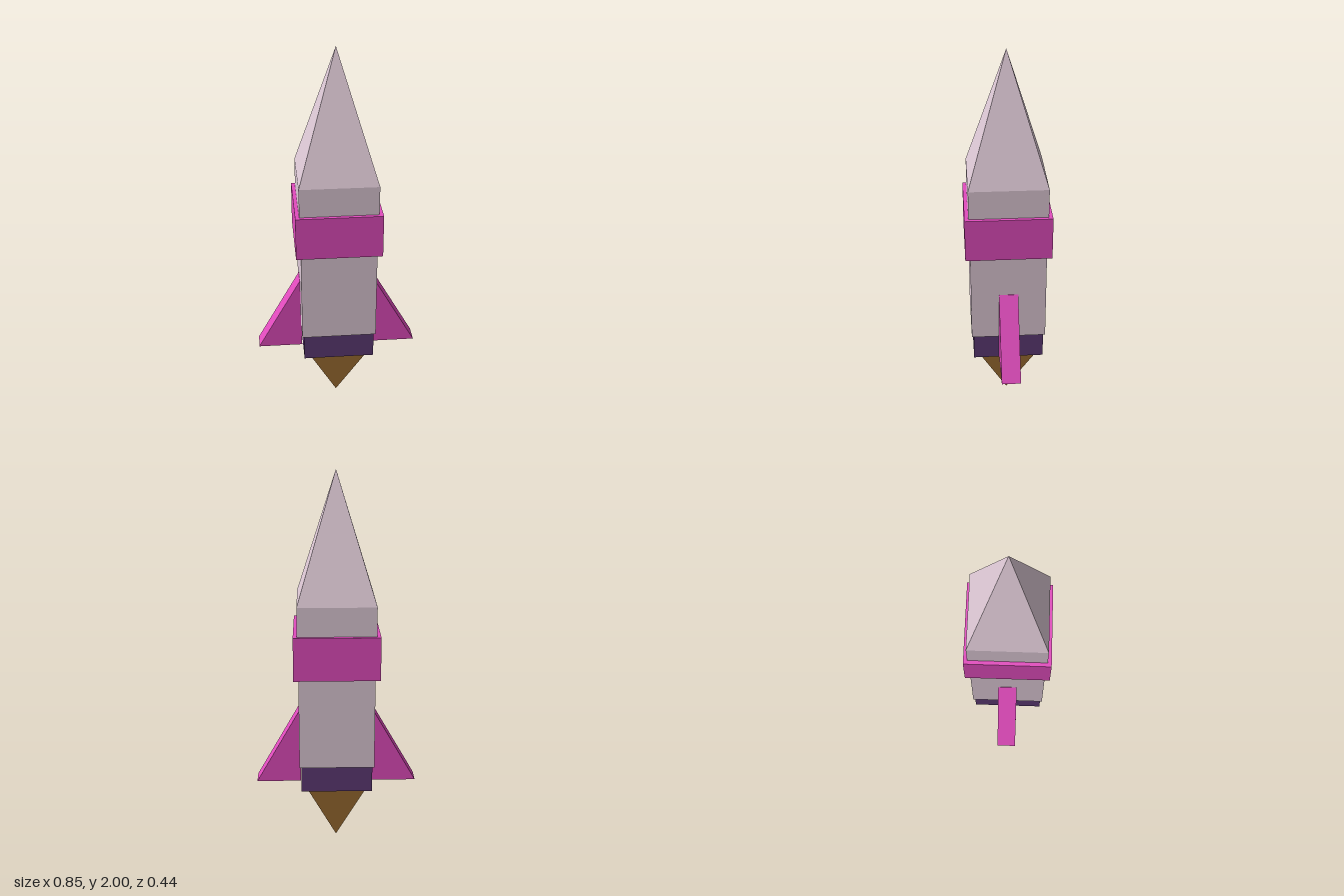
import * as THREE from 'three';

const paint = (name, color) => {
  const m = new THREE.MeshStandardMaterial({ color });
  m.name = name;
  return m;
};

export function createModel() {
  const rocket = new THREE.Group();
  rocket.name = 'rocket';
  const hull = paint('pale mauve', 0xe0cbd8);
  const pink = paint('magenta', 0xe24cbe);
  const purple = paint('dark purple', 0x5e3a75);
  const orange = paint('amber', 0xcb8f43);

  const add = (name, geometry, material) => {
    const mesh = new THREE.Mesh(geometry, material);
    mesh.name = name;
    rocket.add(mesh);
    return mesh;
  };

  // Square block between two heights
  const block = (name, half, y0, y1, material) => {
    const g = new THREE.BoxGeometry(half * 2, y1 - y0, half * 2);
    g.translate(0, (y0 + y1) / 2, 0);
    return add(name, g, material);
  };

  // Four-sided pyramid with its base at y and its tip at tipY
  const pyramid = (name, half, y, tipY, material) => {
    const g = new THREE.ConeGeometry(half * Math.SQRT2, Math.abs(tipY - y), 4).toNonIndexed();
    g.rotateY(Math.PI / 4);
    if (tipY < y) g.rotateX(Math.PI);
    g.translate(0, (y + tipY) / 2, 0);
    g.computeVertexNormals();
    return add(name, g, material);
  };

  // Fuselage, from tip to exhaust
  pyramid('noseCone', 0.2, 1.35, 2, hull);
  block('upperBody', 0.2, 1.1, 1.35, hull);
  block('band', 0.22, 0.975, 1.2, pink);
  block('lowerBody', 0.195, 0.49, 1.1, hull);
  block('engine', 0.185, 0.35, 0.49, purple);
  pyramid('exhaustFlame', 0.155, 0.35, 0, orange);

  // Triangular side fins
  const outline = new THREE.Shape([
    new THREE.Vector2(0.19, 0.35),
    new THREE.Vector2(0.425, 0.35),
    new THREE.Vector2(0.197, 0.75),
    new THREE.Vector2(0.19, 0.75),
  ]);
  const fin = new THREE.ExtrudeGeometry(outline, { depth: 0.1, bevelEnabled: false });
  fin.translate(0, 0, -0.05);
  add('leftFin', fin, pink);
  add('rightFin', fin, pink).rotation.y = Math.PI;

  return rocket;
}
